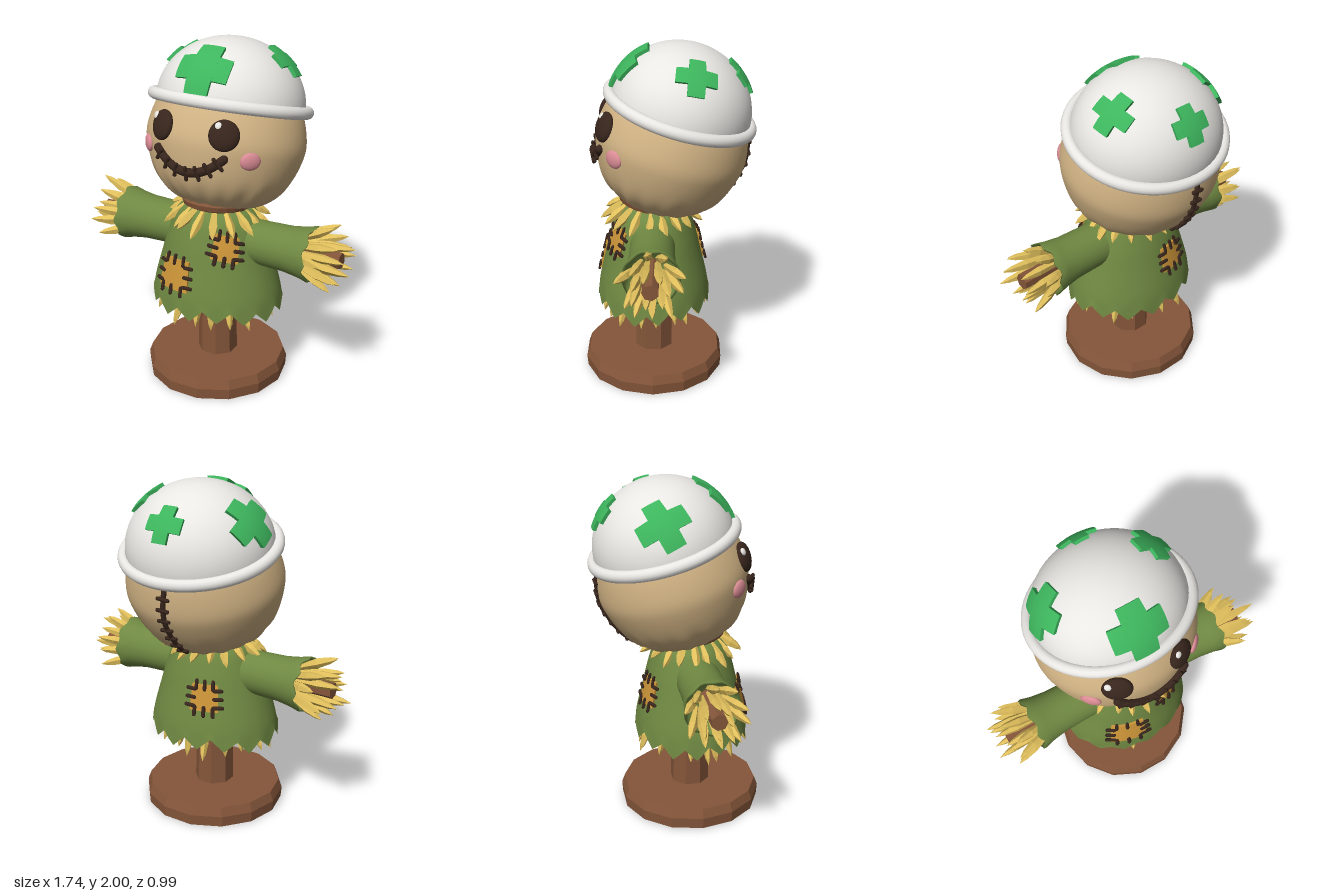
import * as THREE from 'three';
import { mergeGeometries, mergeVertices } from 'three/addons/utils/BufferGeometryUtils.js';

const V = (x, y, z) => new THREE.Vector3(x, y, z);
const UP = V(0, 1, 0);
const CZ = 0.09;      // z of the post and body axis
const FLAT = 0.83;    // body depth relative to its width
const TILT = -0.276;  // backward lean of head and helmet

const mat = (color, o = {}) => new THREE.MeshStandardMaterial({ color, ...o });
const wood = mat(0x85563a, { flatShading: true });
const cloth = mat(0x6f8842, { side: THREE.DoubleSide });
const straw = mat(0xe0bf5c, { flatShading: true });
const sack = mat(0xd0b283);
const dark = mat(0x38261d);
const patchCloth = mat(0xcb9438);
const white = mat(0xe9e7e3, { side: THREE.DoubleSide });
const green = mat(0x3db55d);
const pink = mat(0xdb8c95);

function add(parent, name, geometry, material) {
  const m = new THREE.Mesh(geometry, material);
  m.name = name;
  parent.add(m);
  return m;
}

let seed = 7;
const rnd = () => (seed = (seed * 16807) % 2147483647) / 2147483647;

// Smooth profile: lathe points plus the radius at a height
function profile(list) {
  const pts = new THREE.SplineCurve(list.map(p => new THREE.Vector2(...p))).getPoints(44);
  pts.forEach(p => { p.x = Math.max(p.x, 0); });
  const r = y => {
    for (let i = 1; i < pts.length; i++) {
      const a = pts[i - 1], b = pts[i];
      if (y <= b.y && b.y > a.y) return a.x + (b.x - a.x) * Math.max(0, (y - a.y) / (b.y - a.y));
    }
    return pts[pts.length - 1].x;
  };
  return { pts, r };
}

// Move every vertex by a rule, then rebuild normals
function warp(geo, rule) {
  const p = geo.attributes.position, v = V(0, 0, 0);
  for (let i = 0; i < p.count; i++) {
    rule(v.fromBufferAttribute(p, i));
    p.setXYZ(i, v.x, v.y, v.z);
  }
  geo.computeVertexNormals();
  return geo;
}

// Lathe without a seam, reshaped by a rule
function softLathe(pts, segs, rule) {
  const g = warp(new THREE.LatheGeometry(pts, segs), rule);
  g.deleteAttribute('uv');
  g.deleteAttribute('normal');
  const m = mergeVertices(g, 1e-4);
  m.computeVertexNormals();
  return m;
}

// One pointed straw blade between two points
function blade(a, b, w) {
  const d = b.clone().sub(a), L = d.length();
  const pts = [[0, 0], [w * 0.6, L * 0.1], [w, L * 0.6], [w * 0.6, L * 0.85], [0, L]].map(p => new THREE.Vector2(...p));
  return new THREE.LatheGeometry(pts, 5)
    .applyQuaternion(new THREE.Quaternion().setFromUnitVectors(UP, d.normalize()))
    .translate(a.x, a.y, a.z);
}

const bodyShape = profile([[0.40, 0.49], [0.38, 0.6], [0.335, 0.76], [0.295, 0.9], [0.245, 1.02], [0.17, 1.08], [0.1, 1.09]]);
const headShape = profile([[0, -0.4], [0.18, -0.39], [0.3, -0.335], [0.39, -0.24], [0.447, -0.1], [0.46, 0.02], [0.41, 0.19], [0.31, 0.31], [0.15, 0.39], [0, 0.41]]);

// Cloth patch with stitches, bent onto the tunic
function patch(parent, name, angle, y0, w, h, roll) {
  const r0 = bodyShape.r(y0), c = Math.cos(roll), s = Math.sin(roll);
  const bend = v => {
    const x = v.x * c - v.y * s, y = y0 + v.x * s + v.y * c;
    const a = angle + x / r0, r = bodyShape.r(y) + v.z;
    v.set(Math.sin(a) * r, y, Math.cos(a) * r * FLAT + CZ);
  };
  const g = new THREE.Group();
  g.name = name;
  parent.add(g);
  add(g, 'patchCloth', warp(new THREE.BoxGeometry(w, h, 0.03, 6, 6, 1), bend), patchCloth);
  const bars = [];
  for (const side of [-1, 1]) for (const k of [-0.32, 0, 0.32]) {
    bars.push(new THREE.CapsuleGeometry(0.011, 0.045, 3, 6).translate(k * w, side * h / 2, 0.018));
    bars.push(new THREE.CapsuleGeometry(0.011, 0.045, 3, 6).rotateZ(Math.PI / 2).translate(side * w / 2, k * h, 0.018));
  }
  add(g, 'patchStitches', warp(mergeGeometries(bars), bend), dark);
}

// Point on the head surface, front (1) or back (-1)
function headPoint(x, y, side = 1) {
  const r = headShape.r(y);
  return V(x, y, side * 0.94 * Math.sqrt(Math.max(r * r - x * x, 0)));
}

// Thick thread with cross stitches along a line on the head
function seam(parent, name, points, radius, count, barLength) {
  const curve = new THREE.CatmullRomCurve3(points);
  const parts = [new THREE.TubeGeometry(curve, 32, radius, 8)];
  for (const t of [0, 1]) parts.push(new THREE.SphereGeometry(radius, 8, 6).translate(...curve.getPoint(t).toArray()));
  for (let i = 0; i < count; i++) {
    const t = (i + 0.6) / (count + 0.2), p = curve.getPointAt(t), tan = curve.getTangentAt(t);
    const n = p.clone().normalize();
    const across = n.clone().cross(tan).normalize();
    p.addScaledVector(n, radius * 0.6);
    parts.push(new THREE.CapsuleGeometry(0.012, barLength, 3, 6)
      .applyQuaternion(new THREE.Quaternion().setFromUnitVectors(UP, across)).translate(p.x, p.y, p.z));
  }
  add(parent, name, mergeGeometries(parts), dark);
}

// Flattened button lying on the head
function button(parent, name, p, rx, ry, depth, material) {
  const m = add(parent, name, new THREE.SphereGeometry(1, 24, 16), material);
  m.scale.set(rx, ry, depth);
  m.position.copy(p);
  m.quaternion.setFromUnitVectors(V(0, 0, 1), p.clone().normalize());
  return m;
}

// Raised cross bent onto the helmet dome
function cross(parent, dir, size, width, roll, radii) {
  const n = dir.clone().normalize();
  const right = UP.clone().cross(n).normalize(), up = n.clone().cross(right);
  const arm = (size - width) / 2, off = (size + width) / 4;
  const geo = mergeGeometries([
    new THREE.BoxGeometry(width, size, 0.04, 4, 10, 1),
    new THREE.BoxGeometry(arm, width, 0.04, 4, 4, 1).translate(off, 0, 0),
    new THREE.BoxGeometry(arm, width, 0.04, 4, 4, 1).translate(-off, 0, 0),
  ]).rotateZ(roll);
  add(parent, 'helmetCross', warp(geo, v => {
    const z = v.z;
    const p = n.clone().multiplyScalar(0.4).addScaledVector(right, v.x).addScaledVector(up, v.y);
    v.copy(p).multiplyScalar((1 + z / 0.4) / p.clone().divide(radii).length());
  }), green);
}

export function createModel() {
  const model = new THREE.Group();
  model.name = 'scarecrow';

  // Stand: bevelled disc, post and crossbar
  const basePts = [[0, 0], [0.415, 0], [0.42, 0.065], [0.4, 0.12], [0, 0.12]].map(p => new THREE.Vector2(...p));
  add(model, 'base', new THREE.LatheGeometry(basePts, 14, Math.PI / 2).translate(0, 0, CZ), wood);
  add(model, 'post', new THREE.CylinderGeometry(0.1, 0.118, 0.95, 8).rotateY(Math.PI / 8).translate(0, 0.585, CZ), wood);
  add(model, 'crossbar', new THREE.CylinderGeometry(0.047, 0.047, 1.56, 7).rotateZ(Math.PI / 2).translate(0, 0.88, CZ), wood);

  // Tunic with ragged hem
  const zigzag = a => Math.abs(((a / (2 * Math.PI) * 15 + 15) % 1) * 2 - 1);
  add(model, 'tunic', softLathe(bodyShape.pts, 90, v => {
    const a = Math.atan2(v.x, v.z), k = Math.max(0, (0.56 - v.y) / 0.07);
    v.y += k * (0.03 - 0.07 * zigzag(a) + 0.012 * Math.sin(a * 4));
    v.z = v.z * FLAT + CZ;
  }), cloth);
  patch(model, 'bellyPatch', -0.36, 0.7, 0.21, 0.175, 0.05);
  patch(model, 'chestPatch', 0.6, 0.895, 0.15, 0.14, -0.2);
  patch(model, 'backPatch', Math.PI + 0.3, 0.77, 0.16, 0.15, 0);

  // Straw at collar and hem
  const ring = (name, n, r0, y0, r1, y1, w) => {
    const parts = [];
    for (let i = 0; i < n; i++) {
      const a = (i + 0.4 * rnd()) / n * Math.PI * 2, at = (r, y) => V(Math.sin(a) * r, y, Math.cos(a) * r * 0.88 + CZ);
      parts.push(blade(at(r0, y0), at(r1 + 0.06 * (rnd() - 0.5), y1 + 0.05 * (rnd() - 0.5)), w));
    }
    add(model, name, mergeGeometries(parts), straw);
  };
  ring('collarStraw', 18, 0.15, 1.085, 0.325, 0.965, 0.026);
  ring('hemStraw', 20, 0.27, 0.62, 0.36, 0.405, 0.025);

  // Arms: flared sleeve and straw hand
  const sleevePts = [[0.13, 0.15], [0.128, 0.32], [0.132, 0.46], [0.145, 0.55], [0.16, 0.615], [0.145, 0.612], [0.115, 0.5], [0.03, 0.46]]
    .map(p => new THREE.Vector2(...p));
  for (const side of [1, -1]) {
    const arm = new THREE.Group();
    arm.name = side > 0 ? 'leftArm' : 'rightArm';
    arm.position.set(0, 0.88, CZ);
    arm.rotation.y = side > 0 ? 0 : Math.PI;
    model.add(arm);
    add(arm, 'sleeve', softLathe(sleevePts, 40, v => {
      if (v.y > 0.6) v.y += 0.012 * Math.cos(8 * Math.atan2(v.x, v.z));
      v.set(v.y, -v.x, v.z);
    }), cloth);
    const hand = [];
    for (const [n, r0, x1, r1] of [[10, 0.07, 0.77, 0.175], [7, 0.055, 0.84, 0.09]]) for (let i = 0; i < n; i++) {
      const a = (i + 0.4 * rnd()) / n * Math.PI * 2, c = Math.cos(a), s = Math.sin(a), r = r1 + 0.05 * (rnd() - 0.5);
      hand.push(blade(V(0.5, c * r0, s * r0), V(x1 + 0.07 * (rnd() - 0.5), c * r, s * r), 0.027));
    }
    add(arm, 'handStraw', mergeGeometries(hand), straw);
  }

  // Rope at the neck
  const rope = add(model, 'neckRope', new THREE.TorusGeometry(0.165, 0.04, 8, 24).rotateX(Math.PI / 2), wood);
  rope.position.set(0, 1.09, CZ);
  rope.rotation.x = -0.15;

  // Sack head, gathered at the bottom
  const head = new THREE.Group();
  head.name = 'head';
  head.position.set(0, 1.44, -0.02);
  head.rotation.x = TILT;
  model.add(head);
  add(head, 'sackHead', softLathe(headShape.pts, 96, v => {
    const a = Math.atan2(v.x, v.z), t = Math.min(1, Math.max(0, (-0.14 - v.y) / 0.2));
    const k = 1 + t * t * (0.025 * Math.cos(18 * a) + 0.015 * Math.cos(11 * a + 1));
    v.x *= k;
    v.z *= k * 0.94;
  }), sack);

  // Face
  for (const s of [1, -1]) {
    button(head, 'eye', headPoint(s * 0.19, 0.034), 0.084, 0.085, 0.035, dark);
    const glint = headPoint(s * 0.19 - 0.034, 0.076);
    button(head, 'eyeGlint', glint.addScaledVector(glint.clone().normalize(), 0.026), 0.02, 0.022, 0.012, white);
    button(head, 'cheek', headPoint(s * 0.318, -0.085), 0.058, 0.05, 0.022, pink);
  }
  const smile = [], back = [];
  for (let i = 0; i <= 8; i++) {
    const x = (i / 4 - 1) * 0.2;
    smile.push(headPoint(x, -0.19 + 0.1 * (x / 0.2) ** 2).multiplyScalar(1.02));
    back.push(headPoint(-0.03 + 0.02 * Math.sin(i * 0.4), 0.2 - i * 0.062, -1));
  }
  seam(head, 'mouth', smile, 0.025, 7, 0.07);
  seam(head, 'backSeam', back, 0.016, 8, 0.06);

  // Helmet: dome, rolled rim and four crosses
  const helmet = new THREE.Group();
  helmet.name = 'helmet';
  helmet.position.set(0, 1.625, -0.065);
  helmet.rotation.x = TILT;
  model.add(helmet);
  const radii = V(0.43, 0.373, 0.402);
  add(helmet, 'dome', new THREE.SphereGeometry(1, 48, 24, 0, Math.PI * 2, 0, Math.PI / 2).scale(radii.x, radii.y, radii.z), white);
  add(helmet, 'rim', new THREE.TorusGeometry(0.445, 0.035, 14, 64).rotateX(Math.PI / 2).scale(1, 1, 0.925), white);
  cross(helmet, V(0, 0.178, 0.362), 0.32, 0.145, 0, radii);
  cross(helmet, V(0, 0.286, -0.278), 0.22, 0.09, 0, radii);
  cross(helmet, V(0.3, 0.278, -0.01), 0.225, 0.09, 0.1, radii);
  cross(helmet, V(-0.36, 0.215, -0.007), 0.28, 0.11, 0.2, radii);
  return model;
}
